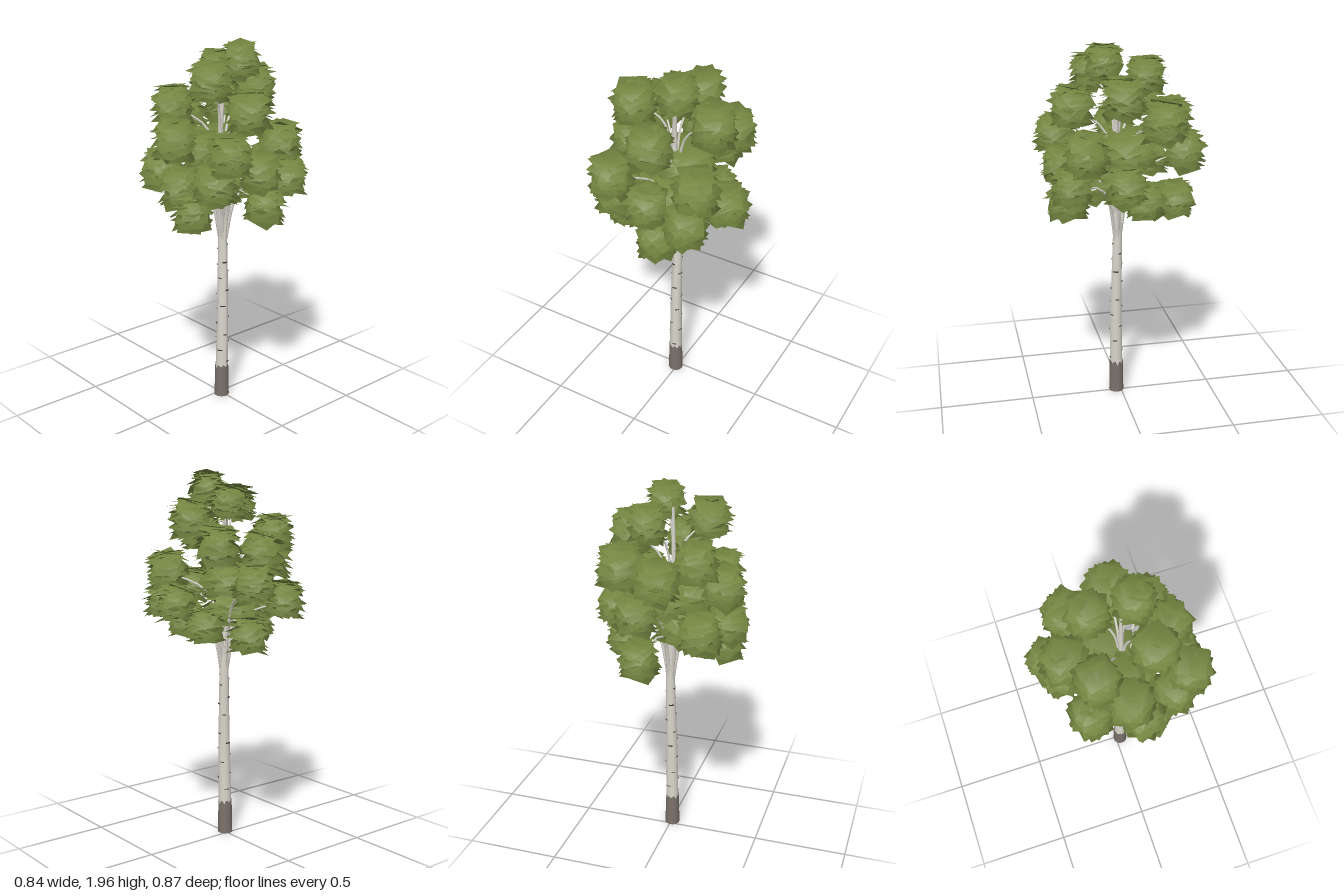
import * as THREE from 'three';
import { mergeGeometries } from 'three/addons/utils/BufferGeometryUtils.js';

const V = (x, y, z) => new THREE.Vector3(x, y, z);
const paint = (name, color, side = THREE.FrontSide) => {
  const m = new THREE.MeshStandardMaterial({ color, side });
  m.name = name;
  return m;
};

// small seeded random source
function seeded(seed) {
  return () => {
    seed = (seed * 1664525 + 1013904223) % 4294967296;
    return seed / 4294967296;
  };
}

// tapered tube: the rings of a unit tube are scaled by radiusAt(t)
function limb(points, radiusAt, segments, sides) {
  const curve = new THREE.CatmullRomCurve3(points);
  const geo = new THREE.TubeGeometry(curve, segments, 1, sides);
  const pos = geo.attributes.position;
  for (let i = 0; i < pos.count; i++) {
    const t = Math.floor(i / (sides + 1)) / segments;
    const c = curve.getPointAt(t);
    const p = V().fromBufferAttribute(pos, i).sub(c).multiplyScalar(radiusAt(t)).add(c);
    pos.setXYZ(i, p.x, p.y, p.z);
  }
  geo.computeVertexNormals();
  return geo;
}

// leaf clump centres and radius
const CLUMPS = [
  [0.05, 1.85, 0.10, 0.084], [0.08, 1.785, -0.11, 0.084], [-0.17, 1.77, 0.13, 0.09],
  [0.21, 1.70, 0.03, 0.094], [-0.18, 1.62, -0.15, 0.092], [-0.02, 1.62, 0.25, 0.094],
  [0.20, 1.57, -0.18, 0.098], [-0.01, 1.54, -0.26, 0.095], [-0.28, 1.47, -0.02, 0.095],
  [-0.20, 1.44, 0.31, 0.092], [0.22, 1.43, 0.22, 0.095], [0.08, 1.39, -0.31, 0.092],
  [0.30, 1.28, 0.04, 0.088], [-0.30, 1.25, 0.04, 0.088], [0.20, 1.27, 0.29, 0.088],
  [0.05, 1.15, 0.29, 0.09], [-0.22, 1.28, -0.20, 0.092], [0.08, 1.13, -0.27, 0.086],
  [-0.26, 1.13, 0.09, 0.09], [-0.23, 1.29, 0.23, 0.09], [0.21, 1.17, -0.08, 0.085],
  [0.02, 1.39, -0.04, 0.125], [-0.07, 1.24, 0.03, 0.13], [-0.12, 1.40, 0.00, 0.088],
  [0.00, 1.33, 0.31, 0.088],
];

// a clump: rounded core plus square leaf cards, level on top and leaning at the sides
function clumpGeometry(r, rnd) {
  const core = new THREE.SphereGeometry(r * 0.86, 12, 8);
  core.scale(1, 0.95, 1);
  const parts = [core];
  const count = 36;
  const up = V(0, 1, 0);
  for (let i = 0; i < count; i++) {
    const h = 1 - 1.7 * i / count;
    const a = i * 2.39996 + rnd() * 0.6;
    const ring = Math.sqrt(1 - h * h);
    const dir = V(Math.cos(a) * ring, h, Math.sin(a) * ring);
    const size = r * (1.2 + rnd() * 0.25 + 0.2 * Math.max(0, h));
    const card = new THREE.PlaneGeometry(size, size);
    card.rotateX(-Math.PI / 2);
    card.rotateY(rnd() * Math.PI);
    const jitter = 0.15 + 0.4 * ring;
    const lean = V(dir.x * 0.5, 1, dir.z * 0.5);
    lean.x += (rnd() - 0.5) * jitter;
    lean.z += (rnd() - 0.5) * jitter;
    card.applyQuaternion(new THREE.Quaternion().setFromUnitVectors(up, lean.normalize()));
    card.translate(dir.x * r * 0.5, dir.y * r * 1.08, dir.z * r * 0.5);
    // rounded shading over the whole clump
    const pos = card.attributes.position;
    for (let k = 0; k < 4; k++) {
      const n = V().fromBufferAttribute(pos, k).normalize().addScaledVector(lean, 0.6).normalize();
      card.attributes.normal.setXYZ(k, n.x, n.y, n.z);
    }
    parts.push(card);
  }
  return mergeGeometries(parts);
}

export function createModel() {
  const tree = new THREE.Group();
  tree.name = 'tree';
  const bark = paint('pale bark', 0xd9d6cc);
  const darkBark = paint('dark bark', 0x7a716a, THREE.DoubleSide);
  const scar = paint('bark scar', 0x3c3734, THREE.DoubleSide);
  const leaf = paint('leaf green', 0x758741, THREE.DoubleSide);
  const add = (name, geo, mat, parent = tree) => {
    const mesh = new THREE.Mesh(geo, mat);
    mesh.name = name;
    parent.add(mesh);
    return mesh;
  };
  const rnd = seeded(17);

  // trunk, gently bowed and tapering to the crown
  const path = [V(-0.008, 0, 0.025), V(-0.002, 0.5, 0.027), V(0.003, 0.95, 0.02),
    V(-0.012, 1.4, 0.022), V(-0.01, 1.85, 0.02)];
  const trunkCurve = new THREE.CatmullRomCurve3(path);
  const trunkRadius = t => 0.037 - 0.02 * t - 0.01 * t * t;
  add('trunk', limb(path, trunkRadius, 24, 12), bark);

  // dark base with a ragged upper edge
  const base = new THREE.CylinderGeometry(0.0365, 0.04, 0.18, 24, 1, true);
  const bp = base.attributes.position;
  for (let i = 0; i < 24; i++) bp.setY(i, 0.09 + (i % 3 === 0 ? -0.03 : 0.01) * rnd());
  bp.setY(24, bp.getY(0));
  base.translate(-0.007, 0.09, 0.0255);
  add('trunkBase', base, darkBark);
  const foot = new THREE.CircleGeometry(0.04, 24).rotateX(Math.PI / 2);
  add('trunkFoot', foot.translate(-0.007, 0.001, 0.0255), darkBark);

  // short horizontal scars around the trunk
  const scars = new THREE.Group();
  scars.name = 'barkScars';
  tree.add(scars);
  for (let i = 0; i < 22; i++) {
    const y = 0.21 + i * 0.032 + rnd() * 0.015;
    const t = y / 1.85;
    const c = trunkCurve.getPointAt(t);
    const r = trunkRadius(t) + 0.004;
    const arc = new THREE.CylinderGeometry(r, r, 0.004 + rnd() * 0.004, 6, 1, true,
      i * 2.4, 0.4 + rnd() * 0.6);
    add('barkScar', arc.translate(c.x, y, c.z), scar, scars);
  }

  // one steep, arching branch and one leaf clump for each centre
  const branches = new THREE.Group();
  branches.name = 'branches';
  const crown = new THREE.Group();
  crown.name = 'crown';
  tree.add(branches, crown);
  for (const [x, y, z, r] of CLUMPS) {
    const startY = Math.max(0.84, y - 0.42 - rnd() * 0.06);
    const s = trunkCurve.getPointAt(startY / 1.85);
    const end = V(x, y, z);
    const mid = s.clone().lerp(end, 0.3);
    mid.y = Math.max(1.19, THREE.MathUtils.lerp(startY, y, 0.75));
    add('branch', limb([s, mid, end], t => 0.0095 - 0.0055 * t, 10, 6), bark, branches);
    const clump = add('leafClump', clumpGeometry(r, rnd), leaf, crown);
    clump.position.copy(end);
    if (r > 0.1) clump.scale.y = 0.78;
  }
  return tree;
}
